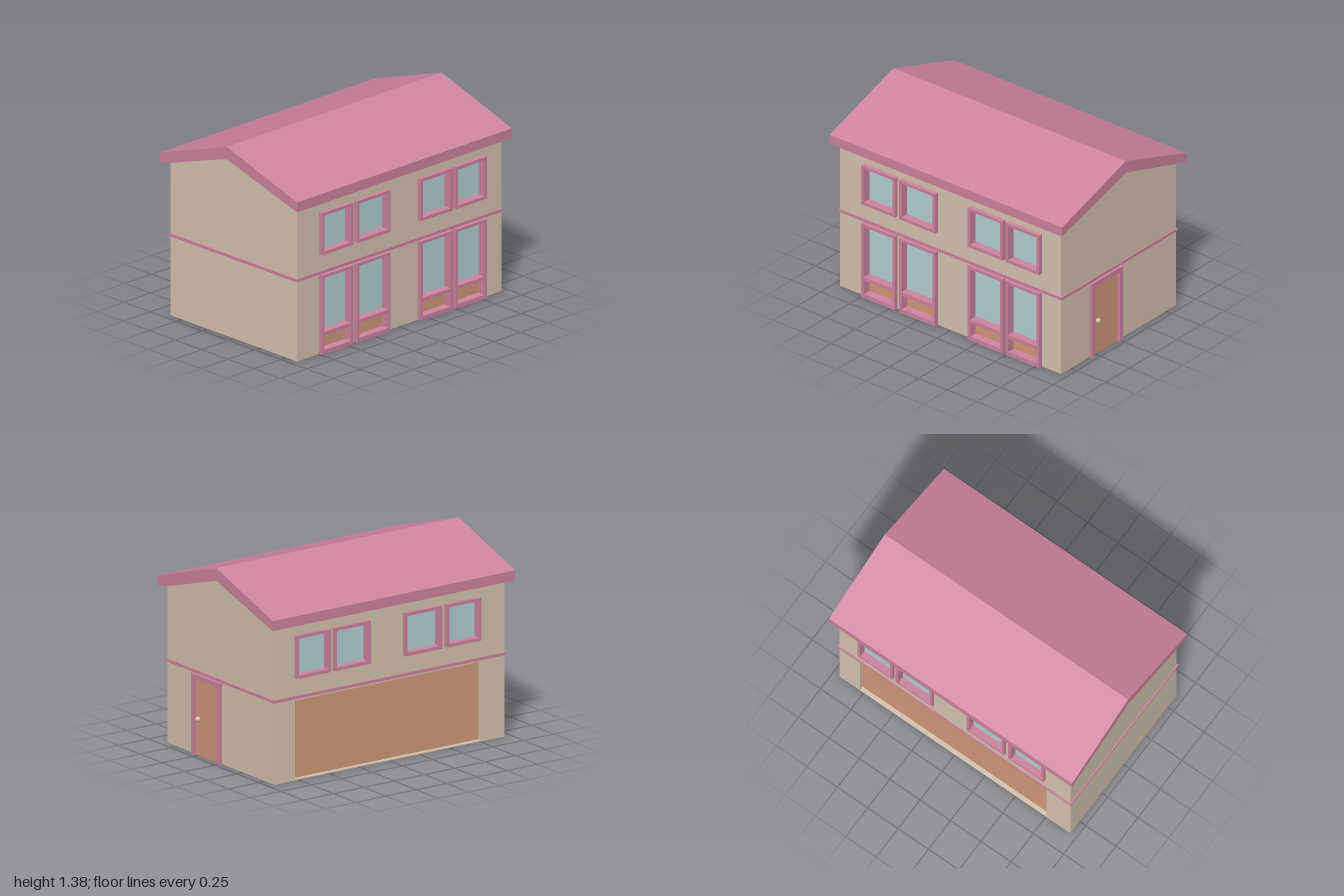
import * as THREE from 'three';

const mat = (color) => new THREE.MeshStandardMaterial({ color });

export function createModel() {
  const house = new THREE.Group();
  house.name = 'house';
  const wall = mat(0xd6c4b1), trim = mat(0xcf849f), wood = mat(0xd3987a), glass = mat(0xb4d1d1);

  const add = (name, geometry, material, parent = house) => {
    const mesh = new THREE.Mesh(geometry, material);
    mesh.name = name;
    parent.add(mesh);
    return mesh;
  };
  // Box given by its two extreme corners
  const box = (name, material, x0, x1, y0, y1, z0, z1, parent) => {
    const mesh = add(name, new THREE.BoxGeometry(x1 - x0, y1 - y0, z1 - z0), material, parent);
    mesh.position.set((x0 + x1) / 2, (y0 + y1) / 2, (z0 + z1) / 2);
    return mesh;
  };
  const polygon = (points) => new THREE.Shape(points.map(([x, y]) => new THREE.Vector2(x, y)));
  const rect = (x0, x1, y0, y1) => polygon([[x0, y0], [x1, y0], [x1, y1], [x0, y1]]);
  // Rectangular panel with rectangular holes, extruded along z
  const panel = (outer, holes, z0, z1) => {
    const shape = rect(...outer);
    shape.holes = holes.map((h) => rect(...h));
    return new THREE.ExtrudeGeometry(shape, { depth: z1 - z0, bevelEnabled: false }).translate(0, 0, z0);
  };
  // Profile of [z, y] points, extruded along x
  const alongX = (points, x0, x1) => {
    const shape = polygon(points.map(([z, y]) => [-z, y]));
    return new THREE.ExtrudeGeometry(shape, { depth: x1 - x0, bevelEnabled: false })
      .rotateY(Math.PI / 2).translate(x0, 0, 0);
  };

  const CORE = 0.57, WALL = 0.605, RIDGE = -0.017;
  const columns = [[-0.745, -0.455], [-0.42, -0.11], [0.17, 0.47], [0.497, 0.785]];
  const inset = ([x0, x1], y0, y1, d) => [x0 + d, x1 - d, y0 + d, y1 - d];
  const upperHoles = columns.map((c) => inset(c, 0.71, 1.01, 0.01));
  const lowerHoles = columns.map((c) => inset(c, 0, 0.565, 0.01));
  const garage = [-0.755, 0.78, 0.008, 0.555];

  // Walls around a solid core
  box('core', wall, -0.93, 0.93, 0, 1.09, -CORE, CORE);
  add('frontWall', panel([-0.92, 0.92, 0, 1.12], [...upperHoles, ...lowerHoles], CORE, WALL), wall);
  add('backWall', panel([-0.92, 0.92, 0, 1.12], [...upperHoles, garage], -WALL, -CORE), wall);
  const gable = [[WALL, 0], [WALL, 1.09], [RIDGE, 1.285], [-WALL, 1.09], [-WALL, 0]];
  add('leftWall', alongX(gable, 0.92, 0.95), wall);
  add('rightWall', alongX(gable, -0.95, -0.92), wall);

  // Windows: a frame standing out from the wall with a recessed pane
  const upperWindow = (column, side) => {
    const group = new THREE.Group();
    group.name = side > 0 ? 'frontUpperWindow' : 'backUpperWindow';
    house.add(group);
    const hole = inset(column, 0.71, 1.01, 0.022);
    const z = side > 0 ? [CORE, 0.635] : [-0.627, -CORE];
    add('windowFrame', panel([...column, 0.71, 1.01], [hole], ...z), trim, group);
    box('windowPane', glass, ...hole, ...(side > 0 ? [CORE, 0.576] : [-0.576, -CORE]), group);
  };
  columns.forEach((column) => {
    upperWindow(column, 1);
    upperWindow(column, -1);
    // Tall ground floor window with a wooden panel below the glass
    const group = new THREE.Group();
    group.name = 'frontLowerWindow';
    house.add(group);
    const [a, b] = [column[0] + 0.022, column[1] - 0.022];
    const pane = [a, b, 0.16, 0.545], lower = [a, b, 0.03, 0.135];
    add('windowFrame', panel([...column, 0, 0.565], [pane, lower], CORE, 0.635), trim, group);
    box('windowPane', glass, ...pane, CORE, 0.576, group);
    box('lowerPanel', wood, ...lower, CORE, 0.576, group);
  });

  // Wide garage door, slightly recessed in the back wall
  box('garageDoor', wood, ...garage, -0.575, -CORE);

  // Side door with frame and knob
  const door = new THREE.Group();
  door.name = 'sideDoor';
  house.add(door);
  const frame = [[0.305, 0], [0.305, 0.565], [-0.015, 0.565], [-0.015, 0],
    [0.017, 0], [0.017, 0.53], [0.273, 0.53], [0.273, 0]];
  add('doorFrame', alongX(frame, 0.94, 0.975), trim, door);
  box('doorPanel', wood, 0.94, 0.954, 0, 0.53, 0.017, 0.273, door);
  add('doorKnob', new THREE.SphereGeometry(0.018, 20, 14), wall, door).position.set(0.968, 0.255, 0.236);

  // Band between the floors
  const band = [[-0.96, 0.96, 0.568, 0.588]];
  box('frontBand', trim, ...band[0], 0.6, 0.613);
  box('backBand', trim, ...band[0], -0.613, -0.6);
  for (const x of [-0.955, 0.955]) box('sideBand', trim, x - 0.005, x + 0.005, 0.568, 0.588, -0.6, 0.6);

  // Gable roof with overhanging eaves and a soffit set back from the ends
  add('roof', alongX([[0.655, 1.09], [0.655, 1.16], [RIDGE, 1.375], [-0.655, 1.16],
    [-0.655, 1.09], [RIDGE, 1.286]], -1, 1), trim);
  add('soffit', alongX([[0.654, 1.091], [RIDGE, 1.287], [-0.654, 1.091],
    [-0.604, 1.091], [RIDGE, 1.284], [0.604, 1.091]], -0.97, 0.97), trim);
  box('eaveBlock', trim, -0.82, -0.75, 1.084, 1.1, 0.6, 0.645);

  // Inlaid strip across the underside
  box('floorStrip', glass, -0.82, -0.75, -0.001, 0.004, -0.6, 0.6);
  return house;
}
